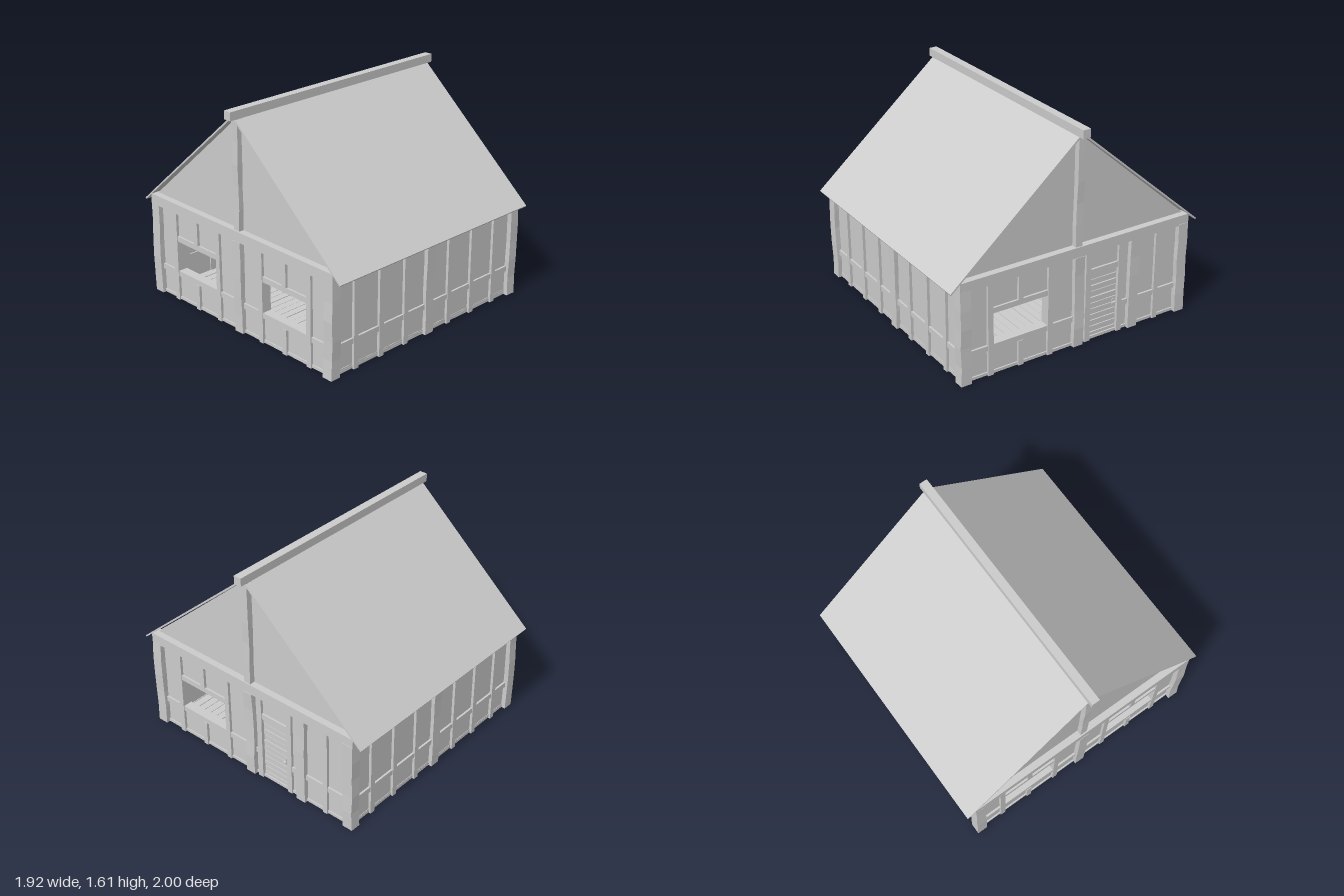
import * as THREE from 'three';

const material = new THREE.MeshStandardMaterial({ color: 0xcccccc, flatShading: true, side: THREE.DoubleSide });

// Small seeded generator for the hand-hewn timber
let seed = 7;
const rand = () => {
  seed = (seed * 16807) % 2147483647;
  return seed / 2147483647 - 0.5;
};

function addMesh(parent, name, geometry) {
  const mesh = new THREE.Mesh(geometry, material);
  mesh.name = name;
  parent.add(mesh);
  return mesh;
}

// Box given by its limits on each axis
function block(parent, name, [x0, x1], [y0, y1], [z0, z1]) {
  const mesh = addMesh(parent, name, new THREE.BoxGeometry(x1 - x0, y1 - y0, z1 - z0));
  mesh.position.set((x0 + x1) / 2, (y0 + y1) / 2, (z0 + z1) / 2);
  return mesh;
}

// Upright timber whose cross-section shifts slightly along its height
function hewnPost(parent, name, x, z, w, d, y0, y1) {
  const rows = 5;
  const geometry = new THREE.BoxGeometry(w, y1 - y0, d, 1, rows, 1);
  const drift = Array.from({ length: rows + 1 }, () => [rand() * 0.008, rand() * 0.008]);
  const p = geometry.attributes.position;
  for (let i = 0; i < p.count; i++) {
    const row = Math.round((p.getY(i) / (y1 - y0) + 0.5) * rows);
    p.setX(i, p.getX(i) + drift[row][0]);
    p.setZ(i, p.getZ(i) + drift[row][1]);
  }
  geometry.computeVertexNormals();
  addMesh(parent, name, geometry).position.set(x, (y0 + y1) / 2, z);
}

const TOP = 0.685;        // underside of the wall beams
const BEAM = 0.76;        // top of the wall beams
const RAIL = [0.19, 0.23];
const WINDOW = { u0: 0.24, u1: 0.67, y0: 0.23, y1: 0.46 };
const DOOR = { u0: 0.11, u1: 0.34, y0: 0.005, y1: 0.505 };

// Wall infill with rectangular openings; local z points outwards
function infill(parent, half, openings, back, front) {
  const shape = new THREE.Shape();
  const rect = (path, x0, x1, y0, y1) =>
    path.moveTo(x0, y0).lineTo(x1, y0).lineTo(x1, y1).lineTo(x0, y1).closePath();
  rect(shape, -half, half, 0, BEAM - 0.02);
  for (const o of openings) {
    const hole = new THREE.Path();
    rect(hole, o.u0, o.u1, o.y0, o.y1);
    shape.holes.push(hole);
  }
  const geometry = new THREE.ExtrudeGeometry(shape, { depth: front - back, bevelEnabled: false });
  addMesh(parent, 'wallInfill', geometry).position.z = back;
}

// Long wall under the eaves
function eaveWall(name, angle) {
  const g = new THREE.Group();
  g.name = name;
  g.rotation.y = angle;
  infill(g, 0.87, [], 0.85, 0.895);
  for (const s of [-1, 1])
    for (const u of [0.218, 0.455, 0.69])
      block(g, 'stud', [s * u - 0.02, s * u + 0.02], [0, TOP], [0.84, 0.915]);
  block(g, 'rail', [-0.85, 0.85], RAIL, [0.84, 0.91]);
  block(g, 'wallBeam', [-0.92, 0.92], [TOP, BEAM - 0.01], [0.85, 0.925]);
  hewnPost(g, 'middlePost', 0.008 * Math.cos(angle), 0.885, 0.078, 0.08, 0, TOP);
  return g;
}

// Timber framing around one window; s picks the half of the wall
function windowBay(g, s) {
  const span = (a, b) => [Math.min(s * a, s * b), Math.max(s * a, s * b)];
  for (const [a, b] of [[0.2, 0.24], [0.67, 0.712]])
    block(g, 'stud', span(a, b), [0, TOP], [0.83, 0.905]);
  block(g, 'lowerStud', span(0.437, 0.475), [0, 0.19], [0.83, 0.905]);
  block(g, 'upperStud', span(0.437, 0.475), [0.5, TOP], [0.83, 0.905]);
  block(g, 'windowLintel', span(0.2, 0.712), [0.46, 0.5], [0.83, 0.9]);
  block(g, 'rail', span(0.03, 0.85), RAIL, [0.83, 0.9]);
}

// Door bay with plank door and handle
function doorBay(g) {
  for (const [a, b] of [[0.067, 0.11], [0.34, 0.38], [0.66, 0.698]])
    block(g, 'stud', [a, b], [0, TOP], [0.83, 0.905]);
  hewnPost(g, 'doorPost', 0.47, 0.88, 0.078, 0.08, 0, TOP);
  block(g, 'doorLintel', [0.11, 0.34], [0.505, 0.548], [0.83, 0.9]);
  block(g, 'rail', [0.03, 0.067], RAIL, [0.83, 0.9]);
  block(g, 'rail', [0.38, 0.85], RAIL, [0.83, 0.9]);
  const door = new THREE.Group();
  door.name = 'door';
  g.add(door);
  block(door, 'doorBacking', [DOOR.u0, DOOR.u1], [DOOR.y0, DOOR.y1], [0.855, 0.87]);
  const count = 11, step = (DOOR.y1 - DOOR.y0) / count;
  for (let i = 0; i < count; i++) {
    const y = DOOR.y0 + i * step, out = 0.882 + rand() * 0.006;
    block(door, 'doorPlank', [DOOR.u0, DOOR.u1], [y + 0.003, y + step - 0.003], [0.865, out]);
  }
  block(door, 'handlePlate', [0.308, 0.32], [0.215, 0.26], [0.88, 0.89]);
  block(door, 'handleGrip', [0.3, 0.325], [0.232, 0.24], [0.89, 0.906]);
}

// Short wall with its gable
function gableWall(name, angle, hasDoor) {
  const g = new THREE.Group();
  g.name = name;
  g.rotation.y = angle;
  const left = { ...WINDOW, u0: -WINDOW.u1, u1: -WINDOW.u0 };
  infill(g, 0.87, [left, hasDoor ? DOOR : WINDOW], 0.84, 0.885);
  windowBay(g, -1);
  if (hasDoor) doorBay(g);
  else windowBay(g, 1);
  hewnPost(g, 'middlePost', 0.005, 0.88, 0.078, 0.08, 0, TOP);
  block(g, 'wallBeam', [-0.93, 0.93], [TOP, BEAM], [0.845, 0.92]);
  // Recessed gable triangle and king post
  const tri = new THREE.Shape();
  tri.moveTo(-0.915, BEAM - 0.005).lineTo(0.915, BEAM - 0.005).lineTo(0, 1.555);
  const geometry = new THREE.ExtrudeGeometry(tri, { depth: 0.02, bevelEnabled: false });
  addMesh(g, 'gable', geometry).position.z = 0.85;
  hewnPost(g, 'kingPost', 0, 0.885, 0.055, 0.05, BEAM, 1.55);
  return g;
}

export function createModel() {
  const house = new THREE.Group();
  house.name = 'timberHouse';

  // Plank floor
  const floor = new THREE.Group();
  floor.name = 'floor';
  house.add(floor);
  block(floor, 'floorBase', [-0.895, 0.895], [0.004, 0.025], [-0.9, 0.9]);
  const planks = 30, width = 1.8 / planks;
  for (let i = 0; i < planks; i++) {
    const z = -0.9 + i * width;
    block(floor, 'floorPlank', [-0.88, 0.88], [0.002, 0.035 + rand() * 0.004], [z + 0.002, z + width - 0.002]);
  }

  house.add(
    eaveWall('frontWall', 0),
    eaveWall('backWall', Math.PI),
    gableWall('leftWall', Math.PI / 2, true),
    gableWall('rightWall', -Math.PI / 2, false),
  );

  // Corner posts
  for (const sx of [-1, 1])
    for (const sz of [-1, 1])
      hewnPost(house, 'cornerPost', sx * 0.884, sz * 0.888, 0.077, 0.08, 0, TOP + 0.01);

  // Roof slopes, thin sheets from ridge to eave
  for (const s of [-1, 1]) {
    const profile = new THREE.Shape();
    profile.moveTo(0, 1.575).lineTo(s * 1, 0.708).lineTo(s * 0.994, 0.698).lineTo(0, 1.558);
    const geometry = new THREE.ExtrudeGeometry(profile, { depth: 1.84, bevelEnabled: false });
    const roof = addMesh(house, 'roofSlope', geometry);
    roof.rotation.y = -Math.PI / 2;
    roof.position.x = 0.92;
  }

  // Ridge beam
  block(house, 'ridgeBeam', [-0.96, 0.96], [1.55, 1.61], [-0.03, 0.03]);

  return house;
}
